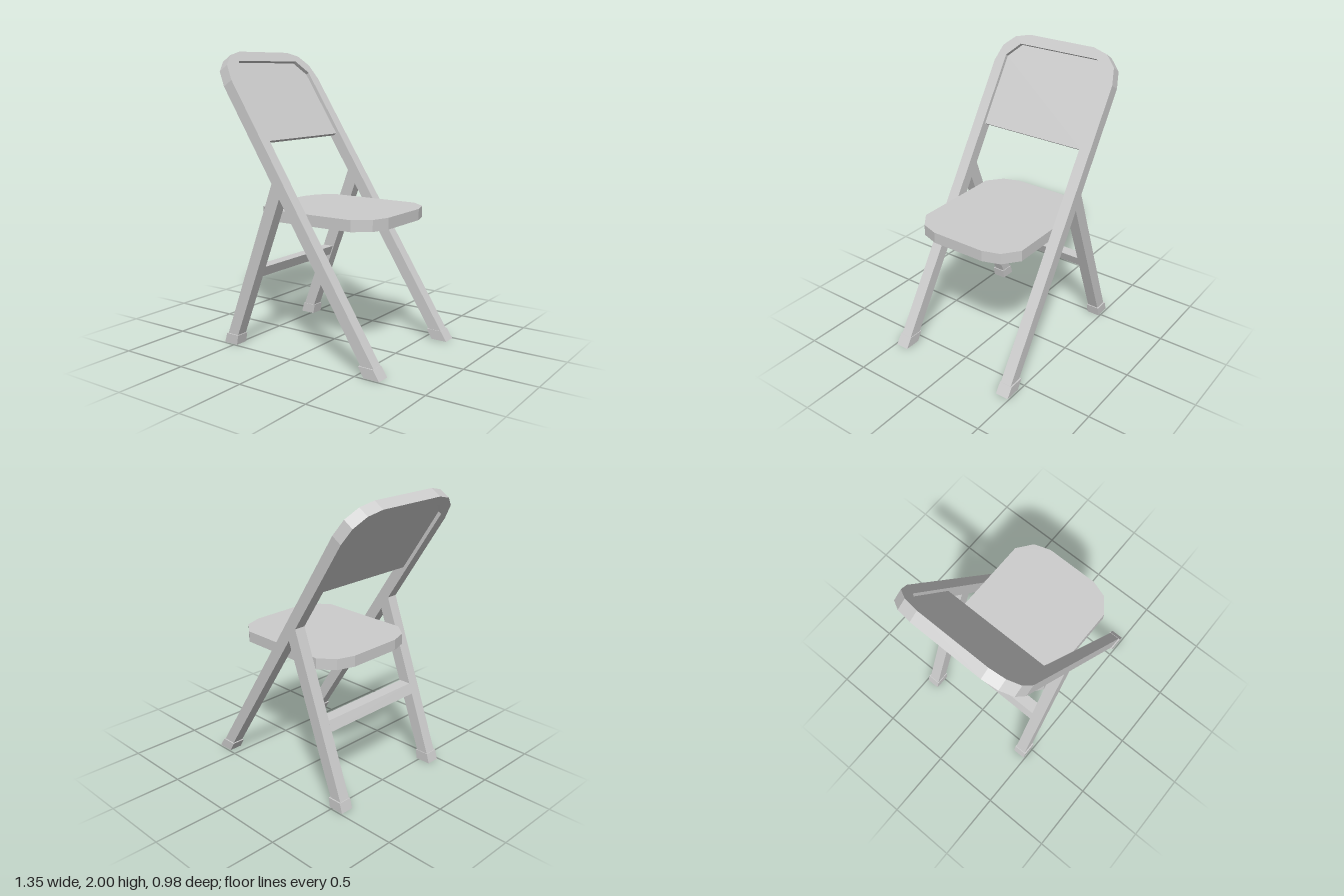
import * as THREE from 'three';

const material = new THREE.MeshStandardMaterial({ color: 0xcccccc, flatShading: true });

const shapeOf = (pts) => new THREE.Shape(pts.map(([x, y]) => new THREE.Vector2(x, y)));

// Straight slab: an outline extruded by depth, centred on its own z
function slab(name, pts, depth) {
  const geometry = new THREE.ExtrudeGeometry(shapeOf(pts), { depth, bevelEnabled: false });
  geometry.translate(0, 0, -depth / 2);
  const mesh = new THREE.Mesh(geometry, material);
  mesh.name = name;
  return mesh;
}

// Full outline from one half, mirrored across the second coordinate's axis
const mirrorX = (half) => [...half, ...half.map(([x, y]) => [-x, y]).reverse()];
const mirrorY = (half) => [...half, ...half.map(([x, y]) => [x, -y]).reverse()];

export function createModel() {
  const chair = new THREE.Group();
  chair.name = 'foldingChair';

  // Leaning plane shared by the hoop frame and the backrest panel
  const lean = new THREE.Group();
  lean.name = 'backFrame';
  const up = new THREE.Vector3(-0.54, 0.842, 0).normalize();
  const normal = new THREE.Vector3(up.y, -up.x, 0);
  const across = new THREE.Vector3().crossVectors(up, normal);
  lean.quaternion.setFromRotationMatrix(new THREE.Matrix4().makeBasis(across, up, normal));
  lean.position.set(-0.645, 1.978, 0);
  chair.add(lean);

  // Hoop: outer edge up and over, inner edge back down; doubles as the front legs
  const outer = [[0.48, -2.3], [0.48, -0.224], [0.45, -0.107], [0.37, -0.03], [0.26, 0]];
  const inner = [[0.31, -0.075], [0.4, -0.172], [0.4, -2.3]];
  lean.add(slab('hoopFrame', [...mirrorX(outer), ...mirrorX(inner.slice().reverse()).reverse()], 0.08));

  // Thin recessed panel filling the top of the hoop
  lean.add(slab('backrest', mirrorX([[0.402, -0.68], [0.402, -0.172], [0.31, -0.073]]), 0.03));

  // Seat with chamfered corners
  const seat = slab('seat', mirrorY([
    [-0.41, 0.195], [-0.37, 0.315], [-0.265, 0.4], [0.4, 0.4], [0.51, 0.315], [0.55, 0.195],
  ]), 0.076);
  seat.rotation.x = -Math.PI / 2;
  seat.position.y = 0.922;
  chair.add(seat);

  // Rear legs and feet, one set on each side
  for (const side of [1, -1]) {
    const label = side > 0 ? 'Left' : 'Right';
    const rearLeg = slab('rearLeg' + label, [[-0.575, 0.04], [-0.487, 0.04], [-0.1, 1.055], [-0.161, 1.15]], 0.08);
    const rearFoot = slab('rearFoot' + label, [[-0.59, 0], [-0.48, 0], [-0.468, 0.068], [-0.57, 0.068]], 0.095);
    const frontFoot = slab('frontFoot' + label, [[0.56, 0], [0.675, 0], [0.63, 0.068], [0.52, 0.068]], 0.095);
    rearLeg.position.z = side * 0.44;
    rearFoot.position.z = frontFoot.position.z = side * 0.4425;
    chair.add(rearLeg, rearFoot, frontFoot);
  }

  // Crossbar between the rear legs
  chair.add(slab('rearCrossbar', [[-0.408, 0.49], [-0.325, 0.49], [-0.298, 0.56], [-0.381, 0.56]], 0.81));

  return chair;
}
